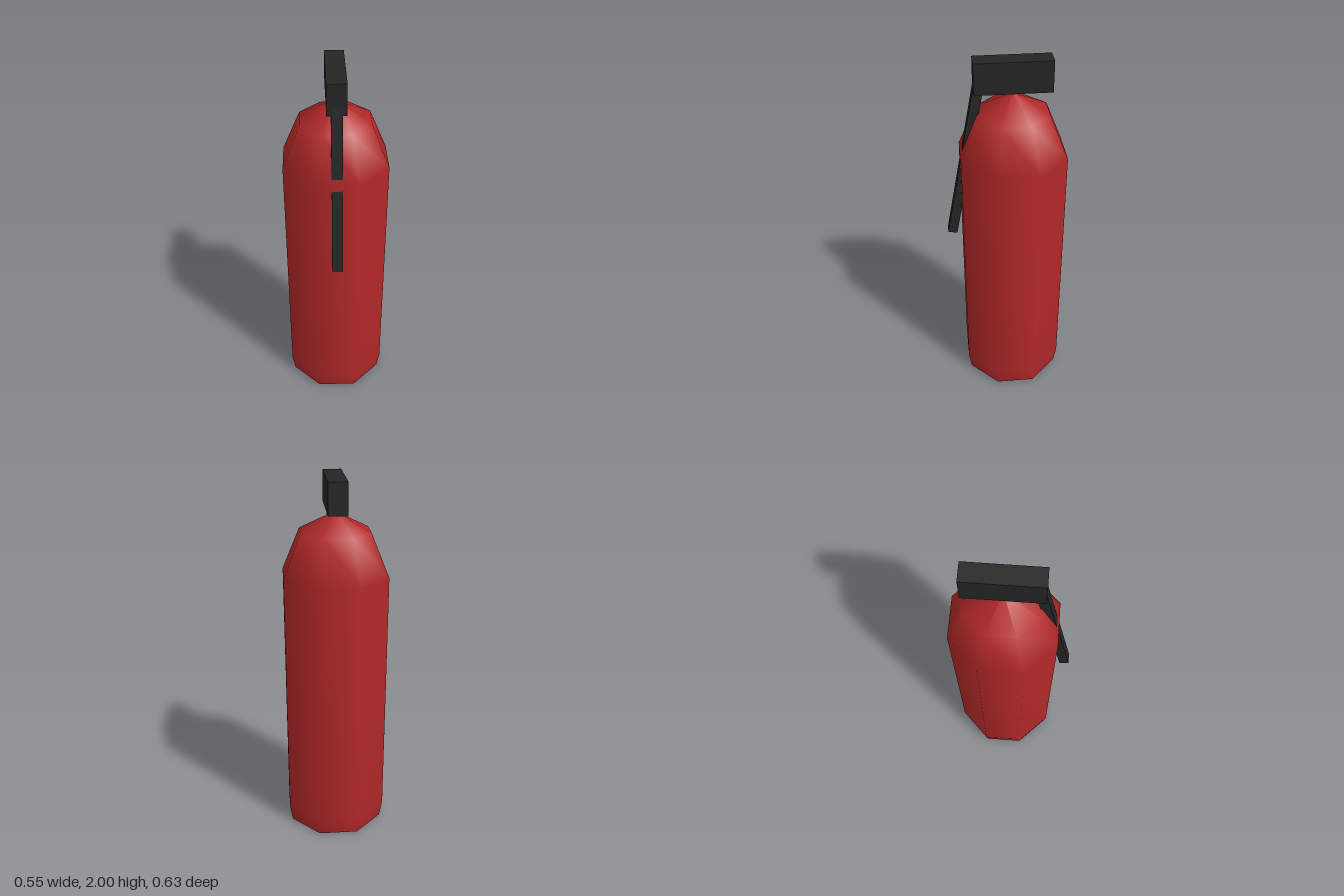
import * as THREE from 'three';

const red = new THREE.MeshStandardMaterial({ name: 'red paint', color: 0xb22828 });
const black = new THREE.MeshStandardMaterial({ name: 'black plastic', color: 0x252525 });

const SIDES = 8;
const TURN = Math.PI / SIDES; // puts flat sides on the x and z axes
const BODY_Z = -0.043;

export function createModel() {
  const model = new THREE.Group();
  model.name = 'fireExtinguisher';

  const add = (name, geometry, material, x, y, z) => {
    const mesh = new THREE.Mesh(geometry, material);
    mesh.name = name;
    mesh.position.set(x, y, z);
    model.add(mesh);
    return mesh;
  };

  // Tank: smooth octagonal profile, as [distance to flat side, height]
  const profile = [[0.26, 0], [0.275, 0.1], [0.275, 1.49], [0.183, 1.72], [0, 1.82]]
    .map(([r, y]) => new THREE.Vector2(r / Math.cos(TURN), y));
  add('tank', new THREE.LatheGeometry(profile, SIDES, TURN), red, 0, 0, BODY_Z);

  // Flat underside of the tank
  const base = new THREE.CircleGeometry(profile[0].x, SIDES, TURN);
  base.rotateX(Math.PI / 2);
  add('tankBase', base, red, 0, 0, BODY_Z);

  // Handle block above the tank
  add('handle', new THREE.BoxGeometry(0.1, 0.165, 0.395), black, 0, 1.9175, -0.0425);

  // Hose slanting down from the handle, partly sunk into the shoulder
  const hose = add('hose', new THREE.BoxGeometry(0.056, 0.895, 0.051), black, 0, 1.44, 0.209);
  hose.rotation.x = -0.1824;

  return model;
}
